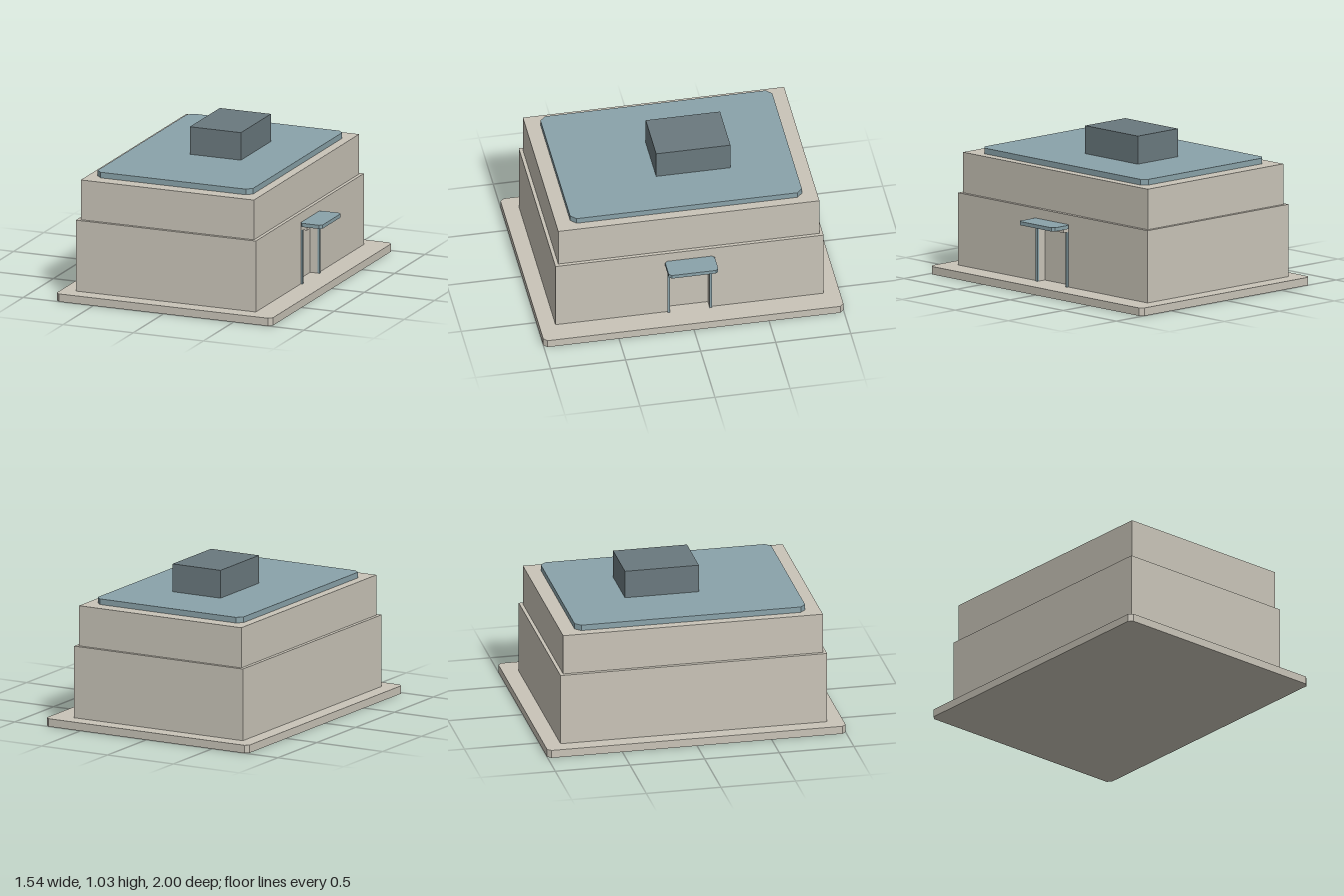
import * as THREE from 'three';

export function createModel() {
  const model = new THREE.Group();
  model.name = 'building';

  const material = (name, color) => {
    const m = new THREE.MeshStandardMaterial({ color });
    m.name = name;
    return m;
  };
  const stone = material('stone', 0xc9c4b8);
  const blue = material('blueTrim', 0x8aa3aa);
  const slate = material('slate', 0x6a797e);

  const add = (name, geometry, mat) => {
    const mesh = new THREE.Mesh(geometry, mat);
    mesh.name = name;
    model.add(mesh);
    return mesh;
  };

  // Box given by its extents on each axis
  const block = (name, [x0, x1], [y0, y1], [z0, z1], mat) =>
    add(name, new THREE.BoxGeometry(x1 - x0, y1 - y0, z1 - z0)
      .translate((x0 + x1) / 2, (y0 + y1) / 2, (z0 + z1) / 2), mat);

  // Flat slab, symmetric in z, with cut corners in plan
  const slab = (name, [x0, x1], [y0, y1], halfZ, cut, mat) => {
    const shape = new THREE.Shape([
      [x0 + cut, -halfZ], [x1 - cut, -halfZ], [x1, -halfZ + cut], [x1, halfZ - cut],
      [x1 - cut, halfZ], [x0 + cut, halfZ], [x0, halfZ - cut], [x0, -halfZ + cut],
    ].map(([x, z]) => new THREE.Vector2(x, z)));
    const geometry = new THREE.ExtrudeGeometry(shape, { depth: y1 - y0, bevelEnabled: false })
      .rotateX(-Math.PI / 2).translate(0, y0, 0);
    return add(name, geometry, mat);
  };

  // Plinth and stepped storeys
  slab('plinth', [-0.77, 0.77], [0, 0.053], 1, 0.025, stone);
  const recess = 0.055;
  block('lowerStorey', [-0.67, 0.612 - recess], [0.053, 0.535], [-0.893, 0.893], stone);
  block('upperStorey', [-0.645, 0.588], [0.535, 0.805], [-0.87, 0.87], stone);

  // Entrance wall on the left side, notched for the recessed doorway
  const wall = new THREE.Shape([
    [-0.893, 0.053], [-0.132, 0.053], [-0.132, 0.42], [0.132, 0.42],
    [0.132, 0.053], [0.893, 0.053], [0.893, 0.535], [-0.893, 0.535],
  ].map(([z, y]) => new THREE.Vector2(z, y)));
  add('entranceWall', new THREE.ExtrudeGeometry(wall, { depth: recess, bevelEnabled: false })
    .rotateY(Math.PI / 2).translate(0.612 - recess, 0, 0), stone);

  // Door frame, lintel and canopy
  for (const side of [-1, 1]) {
    const z = [side * 0.132, side * 0.148].sort((a, b) => a - b);
    block('doorPost', [0.61, 0.625], [0.053, 0.42], z, blue);
  }
  block('doorLintel', [0.61, 0.656], [0.42, 0.445], [-0.148, 0.148], stone);
  slab('canopy', [0.61, 0.767], [0.445, 0.47], 0.165, 0.018, blue);

  // Roof slab and rooftop housing
  slab('roofSlab', [-0.583, 0.525], [0.805, 0.843], 0.772, 0.037, blue);
  block('roofHousing', [-0.183, 0.181], [0.843, 1.03], [-0.355, 0.14], slate);

  return model;
}
